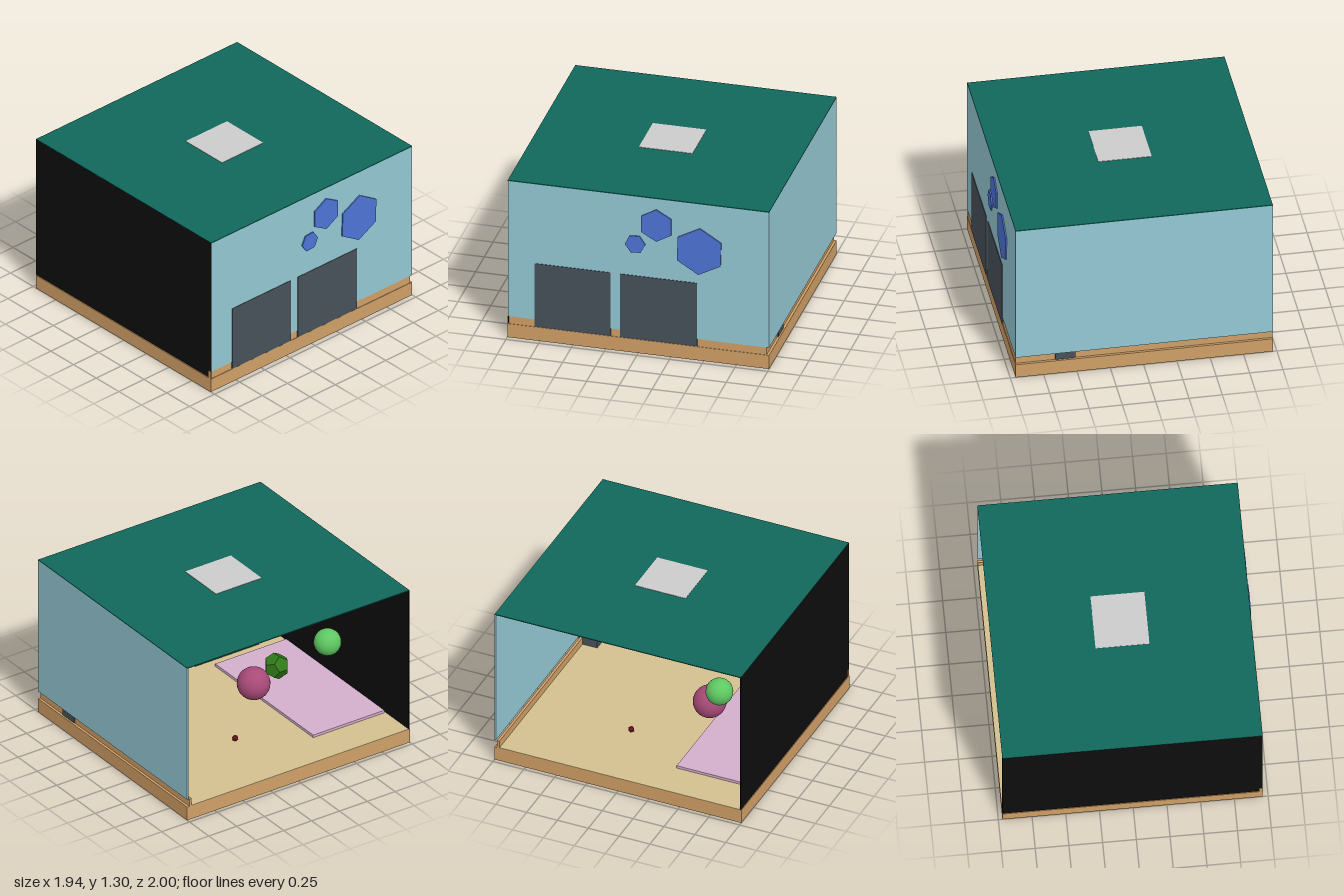
import * as THREE from 'three';

const WOOD = 0xd09f66, WALL = 0x94c8d4, DARK = 0x47515a, HEX = 0x4d74d6;

export function createModel() {
  const room = new THREE.Group();
  room.name = 'room';

  const add = (name, geometry, color, flat = false) => {
    const material = new THREE.MeshStandardMaterial({ color, flatShading: flat, side: THREE.DoubleSide });
    const mesh = new THREE.Mesh(geometry, material);
    mesh.name = name;
    room.add(mesh);
    return mesh;
  };
  // box given by its limits on each axis
  const box = (name, color, [x0, x1], [y0, y1], [z0, z1]) => {
    const mesh = add(name, new THREE.BoxGeometry(x1 - x0, y1 - y0, z1 - z0), color);
    mesh.position.set((x0 + x1) / 2, (y0 + y1) / 2, (z0 + z1) / 2);
    return mesh;
  };

  // floor
  box('floorSlab', WOOD, [-0.97, 0.96], [0, 0.112], [-1, 1]);
  box('floorCovering', 0xd4c08f, [-0.97, 0.94], [0.112, 0.116], [-0.98, 0.99]);

  // walls and roof; the side at -x stays open
  box('sideWall', WALL, [0.95, 0.96], [0.175, 1.295], [-1, 0.995]);
  box('backWall', WALL, [-0.97, 0.95], [0.175, 1.295], [-1, -0.99]);
  box('frontWall', 0x0d0d0d, [-0.97, 0.958], [0.116, 1.3], [0.99, 0.997]);
  box('roof', 0x10685a, [-0.97, 0.96], [1.295, 1.302], [-1, 0.997]);
  box('roofPanel', 0xcccccc, [-0.205, 0.195], [1.285, 1.305], [-0.21, 0.2]);

  // baseboards, set back a little under the walls
  box('sideBaseboard', WOOD, [0.935, 0.956], [0.112, 0.175], [-0.98, 1]);
  box('backBaseboard', WOOD, [-0.97, 0.935], [0.112, 0.175], [-0.98, -0.96]);

  // cabinets whose backs show through the side wall
  for (const [z0, z1] of [[0.21, 0.79], [-0.45, 0.14]]) {
    box('cabinet', DARK, [0.68, 0.964], [0.116, 0.64], [z0, z1]);
  }
  box('smallCabinet', DARK, [0.51, 0.66], [0.116, 0.3], [-0.99, -0.84]);

  // hexagonal wall decorations: z, y, radius, turn
  for (const [z, y, r, turn] of [[-0.14, 1.078, 0.132, 0], [-0.467, 0.905, 0.192, 0.03], [0.022, 0.903, 0.078, 0.45]]) {
    const geometry = new THREE.CylinderGeometry(r, r, 0.05, 6);
    geometry.rotateY(Math.PI / 2 + turn);
    geometry.rotateZ(Math.PI / 2);
    add('wallHexagon', geometry, HEX, true).position.set(0.945, y, z);
  }

  // rug and playthings
  box('rug', 0xd3aecb, [-0.67, 0.6], [0.116, 0.137], [0.34, 0.98]);
  add('hangingBall', new THREE.SphereGeometry(0.103, 24, 16), 0x5fc862).position.set(-0.48, 0.757, 0.6);
  add('floorBall', new THREE.SphereGeometry(0.125, 24, 16), 0xa84a78).position.set(0.03, 0.262, 0.29);
  add('facetedBall', new THREE.DodecahedronGeometry(0.1), 0x2f7a18, true).position.set(0.18, 0.236, 0.6);
  add('smallToy', new THREE.IcosahedronGeometry(0.025), 0x8c1f1f, true).position.set(-0.38, 0.14, -0.16);

  return room;
}
